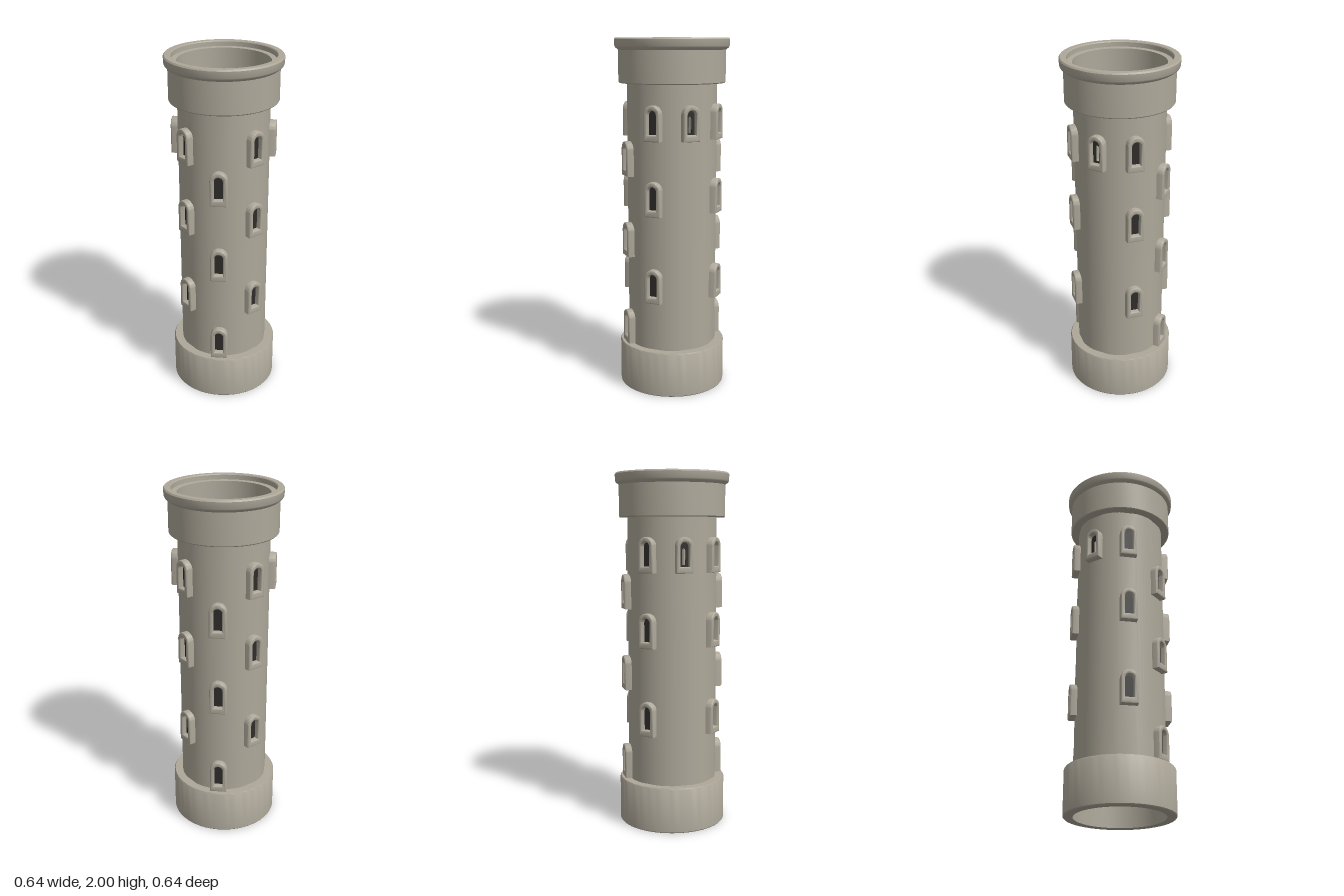
import * as THREE from 'three';
import { toCreasedNormals } from 'three/addons/utils/BufferGeometryUtils.js';

const OUTER = 0.253, INNER = 0.205;       // wall radii
const BOTTOM = 0.25, TOP = 1.77;          // wall heights
const SECTOR = Math.PI / 4, HALF = SECTOR / 4;

// Arched outline standing on y0
function arch(path, halfWidth, y0, height) {
  const spring = y0 + height - halfWidth;
  path.moveTo(-halfWidth, y0);
  path.lineTo(halfWidth, y0);
  path.lineTo(halfWidth, spring);
  path.absarc(0, spring, halfWidth, 0, Math.PI, false);
  path.lineTo(-halfWidth, y0);
  return path;
}

// Wrap a flat slab round the tower axis
function bend(geometry) {
  const p = geometry.attributes.position, n = geometry.attributes.normal;
  const up = new THREE.Vector3(0, 1, 0), v = new THREE.Vector3();
  for (let i = 0; i < p.count; i++) {
    const a = p.getX(i) / OUTER, r = INNER + p.getZ(i);
    p.setXYZ(i, r * Math.sin(a), p.getY(i), r * Math.cos(a));
    v.fromBufferAttribute(n, i).applyAxisAngle(up, a);
    n.setXYZ(i, v.x, v.y, v.z);
  }
  return geometry;
}

function lathe(points, segments = 72, start = 0, length = Math.PI * 2) {
  return new THREE.LatheGeometry(points.map(([x, y]) => new THREE.Vector2(x, y)), segments, start, length);
}

export function createModel() {
  const group = new THREE.Group();
  const stone = new THREE.MeshStandardMaterial({ color: 0xaea89a });
  stone.name = 'warm grey stone';
  const stoneSheet = new THREE.MeshStandardMaterial({ color: 0xaea89a, side: THREE.DoubleSide });
  stoneSheet.name = 'warm grey stone sheet';
  const dark = new THREE.MeshStandardMaterial({ color: 0x2e2d2b });
  dark.name = 'dark window';

  function add(name, geometry, parent = group, material = stone) {
    const mesh = new THREE.Mesh(geometry, material);
    mesh.name = name;
    parent.add(mesh);
    return mesh;
  }

  // Base socket and top collar, both hollow rings
  add('baseRing', toCreasedNormals(lathe([
    [0.25, 0], [0.3, 0], [0.304, 0.005], [0.304, 0.25], [0.299, 0.258], [INNER, 0.258],
    [INNER, 0.245], [0.25, 0.245], [0.25, 0],
  ]), 0.6));
  add('topCollar', toCreasedNormals(lathe([
    [INNER, 1.755], [0.296, 1.755], [0.3, 1.76], [0.3, 1.935], [0.316, 1.948], [0.32, 1.956],
    [0.322, 1.992], [0.316, 2], [0.286, 2], [0.282, 1.995], [0.281, 1.97],
    [0.252, 1.968], [0.25, 1.775], [INNER, 1.772], [INNER, 1.755],
  ]), 0.6));

  // Window sills by direction: front and back, corners, sides
  const axial = [0.262, 0.78, 1.242];
  const corner = [0.54, 1.035, 1.45];
  const side = [1.45];
  const columns = [axial, corner, side, corner, axial, corner, side, corner];

  // Frame shared by all windows, standing through the wall
  const frameShape = arch(new THREE.Shape(), 0.042, 0.006, 0.183);
  frameShape.holes.push(arch(new THREE.Path(), 0.031, 0.03, 0.144));
  const frameGeometry = new THREE.ExtrudeGeometry(frameShape, {
    depth: 0.088, bevelThickness: 0.006, bevelSize: 0.006, bevelSegments: 2, curveSegments: 10,
  });
  frameGeometry.translate(0, 0, 0.194);
  const softFrame = toCreasedNormals(frameGeometry, 0.8);

  // Dark panes: closed, and with an open slit for the sides
  function paneGeometry(slit) {
    const shape = arch(new THREE.Shape(), 0.029, 0.03, 0.142);
    if (slit) shape.holes.push(arch(new THREE.Path(), 0.01, 0.045, 0.09));
    const geometry = new THREE.ExtrudeGeometry(shape, { depth: 0.008, bevelEnabled: false });
    return geometry.translate(0, 0, 0.25);
  }
  const closedPane = paneGeometry(false), slitPane = paneGeometry(true);

  columns.forEach((sills, i) => {
    const bay = new THREE.Group();
    bay.name = 'wallBay';
    bay.rotation.y = i * SECTOR;
    group.add(bay);

    // Curved strip pierced by the window openings
    const w = HALF * OUTER;
    const strip = new THREE.Shape([
      new THREE.Vector2(-w, BOTTOM), new THREE.Vector2(w, BOTTOM),
      new THREE.Vector2(w, TOP), new THREE.Vector2(-w, TOP),
    ]);
    for (const y of sills) strip.holes.push(arch(new THREE.Path(), 0.034, y + 0.022, 0.156));
    add('piercedWall', bend(new THREE.ExtrudeGeometry(strip, {
      depth: OUTER - INNER, bevelEnabled: false, curveSegments: 10,
    })), bay);

    // Plain wall between window columns
    add('outerWall', lathe([[OUTER, BOTTOM], [OUTER, TOP]], 5, HALF, HALF * 2), bay);
    add('innerWall', lathe([[INNER, TOP], [INNER, BOTTOM]], 5, HALF, HALF * 2), bay);

    for (const y of sills) {
      add('windowFrame', softFrame, bay).position.y = y;
      add('windowPane', sills === side ? slitPane : closedPane, bay, dark).position.y = y;
    }
  });

  // Slightly domed floor inside the shaft
  const dome = [];
  for (let k = 0; k <= 8; k++) {
    const t = 1 - k / 8;
    dome.push([INNER * t, 1.43 - 0.03 * t ** 4]);
  }
  add('innerFloor', lathe(dome, 48), group, stoneSheet);

  return group;
}
